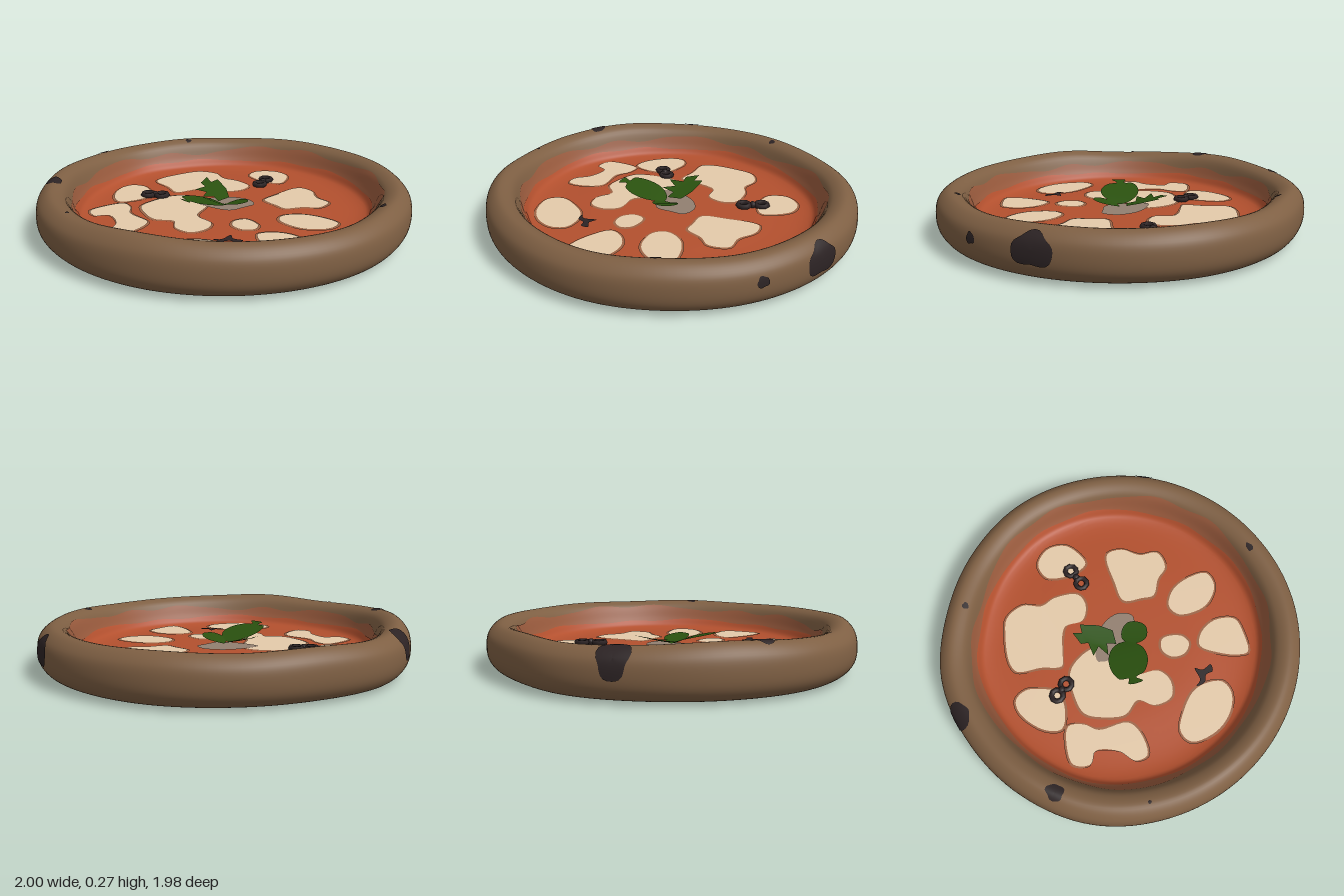
import * as THREE from 'three';

const mat = (name, color, side = THREE.FrontSide) => {
  const m = new THREE.MeshStandardMaterial({ color, side });
  m.name = name;
  return m;
};
const TAU = Math.PI * 2;

// Section of the dough from the underside centre, round the rim, to the top centre
const section = [[0, 0], [0.5, 0], [0.87, 0.005], [0.95, 0.02], [0.99, 0.065], [1, 0.13], [0.984, 0.2],
  [0.925, 0.245], [0.855, 0.222], [0.805, 0.13], [0.765, 0.083], [0.4, 0.08], [0, 0.08]];
const curve = new THREE.CatmullRomCurve3(section.map(([r, y]) => new THREE.Vector3(r, y, 0)));
const LAST = section.length - 1;
const FLOOR = 0.087;

// Uneven rim: radius and extra height at sixteen angles, starting at +x and turning towards +z
const radii = [1, 1, 0.995, 0.985, 0.985, 0.98, 0.982, 0.99, 1, 1.01, 0.995, 0.985, 0.99, 0.965, 0.975, 0.995];
const lifts = [0, 0.003, -0.003, 0.004, -0.004, 0.002, 0.008, 0.018, -0.002, 0.006, 0.02, 0.006, -0.004, 0.004, -0.004, 0.003];
function around(list, angle) {
  const n = list.length, f = (((angle / TAU) % 1 + 1) % 1) * n;
  const i = Math.floor(f), t = f - i, at = j => list[(i + j + n) % n];
  const [a, b, c, d] = [at(-1), at(0), at(1), at(2)];
  return b + 0.5 * t * (c - a + t * (2 * a - 5 * b + 4 * c - d + t * (3 * (b - c) + d - a)));
}

// Point on the dough at an angle and a section index, raised off the surface by lift
function doughPoint(angle, k, lift = 0) {
  const t = Math.min(1, Math.max(0, k / LAST));
  const p = curve.getPoint(t), d = curve.getTangent(t);
  const r = p.x * around(radii, angle) + (t < 1 ? d.y * lift : 0);
  const y = p.y + around(lifts, angle) * Math.max(0, p.y - 0.1) / 0.145 - d.x * lift;
  return [r * Math.cos(angle), Math.max(0, y), r * Math.sin(angle)];
}

// Closed sheet: u wraps around, v runs from 0 to 1
function sheet(nu, nv, fn) {
  const pos = [], idx = [];
  for (let j = 0; j <= nv; j++) for (let i = 0; i < nu; i++) pos.push(...fn(i / nu * TAU, j / nv));
  for (let j = 0; j < nv; j++) for (let i = 0; i < nu; i++) {
    const a = j * nu + i, b = j * nu + (i + 1) % nu;
    idx.push(a, a + nu, b, b, a + nu, b + nu);
  }
  const g = new THREE.BufferGeometry();
  g.setAttribute('position', new THREE.Float32BufferAttribute(pos, 3));
  g.setIndex(idx);
  g.computeVertexNormals();
  return g;
}

// Outlines are [x, z] pairs; z is flipped so that the turned shape faces up
const vectors = pts => pts.map(([x, z]) => new THREE.Vector2(x, -z));
function blobShape(pts, grow = 0) {
  const v = vectors(pts);
  const c = v.reduce((s, p) => s.add(p), new THREE.Vector2()).divideScalar(v.length);
  v.forEach(p => p.add(p.clone().sub(c).setLength(grow)));
  const smooth = new THREE.CatmullRomCurve3(v.map(p => new THREE.Vector3(p.x, p.y, 0)), true);
  return new THREE.Shape(smooth.getPoints(pts.length * 5).slice(0, -1).map(p => new THREE.Vector2(p.x, p.y)));
}
const flatPlate = (shape, y) => new THREE.ShapeGeometry(shape).rotateX(-Math.PI / 2).translate(0, y, 0);

const backCheese = [
  [[-.41, -.43], [-.39, -.52], [-.28, -.62], [-.20, -.63], [-.16, -.57], [-.17, -.50], [-.21, -.41], [-.30, -.39]],
  [[-.61, -.41], [-.50, -.42], [-.41, -.39], [-.42, -.31], [-.47, -.24], [-.47, -.08], [-.55, -.03], [-.66, -.03],
    [-.67, -.10], [-.60, -.17], [-.57, -.28], [-.63, -.32]],
  [[-.41, -.18], [-.36, -.29], [-.24, -.32], [-.12, -.31], [-.05, -.24], [-.02, -.14], [-.10, -.05], [-.22, .02],
    [-.23, .15], [-.30, .20], [-.39, .18], [-.41, .08], [-.36, 0], [-.42, -.08]],
  [[-.07, -.35], [-.05, -.46], [-.04, -.59], [.02, -.62], [.18, -.61], [.28, -.58], [.33, -.48], [.30, -.38],
    [.33, -.30], [.32, -.17], [.25, -.14], [.16, -.18], [.15, -.28], [.10, -.31], [0, -.33]],
  [[.45, -.22], [.47, -.31], [.56, -.34], [.64, -.27], [.64, -.17], [.58, -.11], [.50, -.08], [.46, -.14]],
];
const frontCheese = [
  [[.21, .18], [.22, .08], [.34, .06], [.52, .06], [.53, .15], [.47, .24], [.46, .34], [.36, .36], [.30, .30], [.21, .25]],
  [[.06, .36], [.12, .32], [.21, .37], [.26, .48], [.26, .58], [.18, .60], [.10, .55], [.06, .48]],
  [[-.21, .50], [-.15, .42], [-.08, .45], [-.03, .54], [-.05, .65], [-.14, .67], [-.25, .66], [-.25, .60]],
  [[-.17, .25], [-.12, .21], [-.06, .23], [-.07, .33], [-.12, .36], [-.17, .32]],
  [[-.65, .22], [-.58, .18], [-.48, .23], [-.40, .30], [-.37, .37], [-.38, .47], [-.45, .50], [-.55, .46], [-.63, .36]],
];
const leaves = [
  [[-.29, -.03], [-.26, -.02], [-.25, -.07], [-.18, -.10], [-.10, -.09], [-.04, -.04], [-.03, .03], [-.09, .10],
    [-.17, .11], [-.24, .07], [-.26, .02], [-.29, .05]],
  [[-.03, -.03], [-.02, -.08], [-.09, -.09], [-.03, -.13], [-.08, -.17], [0, -.18], [0, -.22], [.07, -.25],
    [.06, -.20], [.11, -.20], [.09, -.10], [.05, -.03]],
  [[-.01, .01], [.04, .02], [.07, .06], [.06, .11], [.02, .15], [-.04, .14], [-.06, .10], [-.05, .05]],
];

export function createModel() {
  const pizza = new THREE.Group();
  pizza.name = 'pizza';
  const crust = mat('baked crust', 0x7e5f43);
  const sauce = mat('tomato sauce', 0xb3502e);
  const smear = mat('sauce stain', 0x97593c);
  const cheese = mat('cheese', 0xe4caaa);
  const halo = mat('melted cheese edge', 0x9c6446);
  const char = mat('char', 0x2c2324);
  const basil = mat('basil', 0x2a510f, THREE.DoubleSide);
  const greyCheese = mat('greyish cheese', 0x927f70);
  const add = (name, geometry, material) => {
    const m = new THREE.Mesh(geometry, material);
    m.name = name;
    pizza.add(m);
    return m;
  };

  // Dough, stain up the inner wall, and sauce
  add('crust', sheet(128, 72, (a, v) => doughPoint(a, v * LAST)), crust);
  const ripple = a => 0.12 * Math.sin(5 * a + 1) + 0.08 * Math.sin(11 * a) + 0.05 * Math.sin(17 * a + 2);
  const stainTop = a => 8.5 + ripple(a) - 0.35 * Math.max(0, Math.cos(a - 0.55));
  add('sauceStain', sheet(128, 12, (a, v) => doughPoint(a, THREE.MathUtils.lerp(stainTop(a), 10, v), 0.003)), smear);
  const sauceTop = a => 9.1 + 0.8 * ripple(a + 2);
  add('sauce', sheet(128, 24, (a, v) => doughPoint(a, THREE.MathUtils.lerp(sauceTop(a), LAST, v), 0.006)), sauce);

  // Cheese pieces, each with a melted edge
  for (const pts of [...backCheese, ...frontCheese]) {
    add('meltedEdge', flatPlate(blobShape(pts, 0.016), FLOOR + 0.002), halo);
    add('cheese', flatPlate(blobShape(pts, 0.003), FLOOR + 0.005), cheese);
  }
  const pool = [[-.10, -.15], [0, -.14], [.10, -.08], [.15, .02], [.12, .10], [.05, .10], [-.05, .08]];
  add('centrePool', flatPlate(blobShape(pool), FLOOR + 0.008), greyCheese);

  // Basil leaves rising from the centre
  leaves.forEach((pts, n) => {
    const g = flatPlate(n === 1 ? new THREE.Shape(vectors(pts)) : blobShape(pts), 0);
    const p = g.attributes.position;
    for (let i = 0; i < p.count; i++) p.setY(i, 0.1 + 0.3 * Math.hypot(p.getX(i), p.getZ(i)));
    g.computeVertexNormals();
    add('basilLeaf', g, basil);
  });

  // Burnt rings, joined in pairs, and a crumb on the topping
  for (const [x, z, x2, z2] of [[-.23, -.41, -.18, -.35], [.38, -.13, .47, -.17]]) {
    for (const [cx, cz] of [[x, z], [x2, z2]]) {
      add('burntRing', new THREE.TorusGeometry(0.032, 0.014, 6, 9).rotateX(Math.PI / 2), char).position.set(cx, 0.1, cz);
    }
    add('burntLink', new THREE.SphereGeometry(0.02, 8, 6), char).position.set((x + x2) / 2, 0.1, (z + z2) / 2);
  }
  const crumb = [[-.37, .33], [-.34, .36], [-.27, .35], [-.29, .39], [-.27, .44], [-.31, .44], [-.32, .40], [-.36, .38]];
  add('burntCrumb', flatPlate(blobShape(crumb), FLOOR + 0.01), char);

  // Char marks on the rim: x, z direction, section index, half width in angle, half height in index
  const marks = [[-.24, -.91, 6.05, .075, 1.3], [-.75, -.53, 7.15, .05, .55], [.36, -.81, 7.6, .022, .22],
    [.90, .38, 5.35, .10, 1.05], [.72, .67, 5.3, .03, .37], [.29, .82, 7.5, .03, .2],
    [-.91, -.09, 7.2, .01, .12], [-.02, .75, 9.3, .01, .12]];
  marks.forEach(([x, z, k, w, h], n) => {
    const g = sheet(28, 5, (u, v) => {
      const s = (1 - v) * (1 + 0.1 * Math.sin(3 * u + n) + 0.06 * Math.sin(5 * u + 2 * n));
      return doughPoint(Math.atan2(z, x) + w * s * Math.cos(u), k + h * s * Math.sin(u), 0.004);
    });
    add('charMark', g, char);
  });
  return pizza;
}
